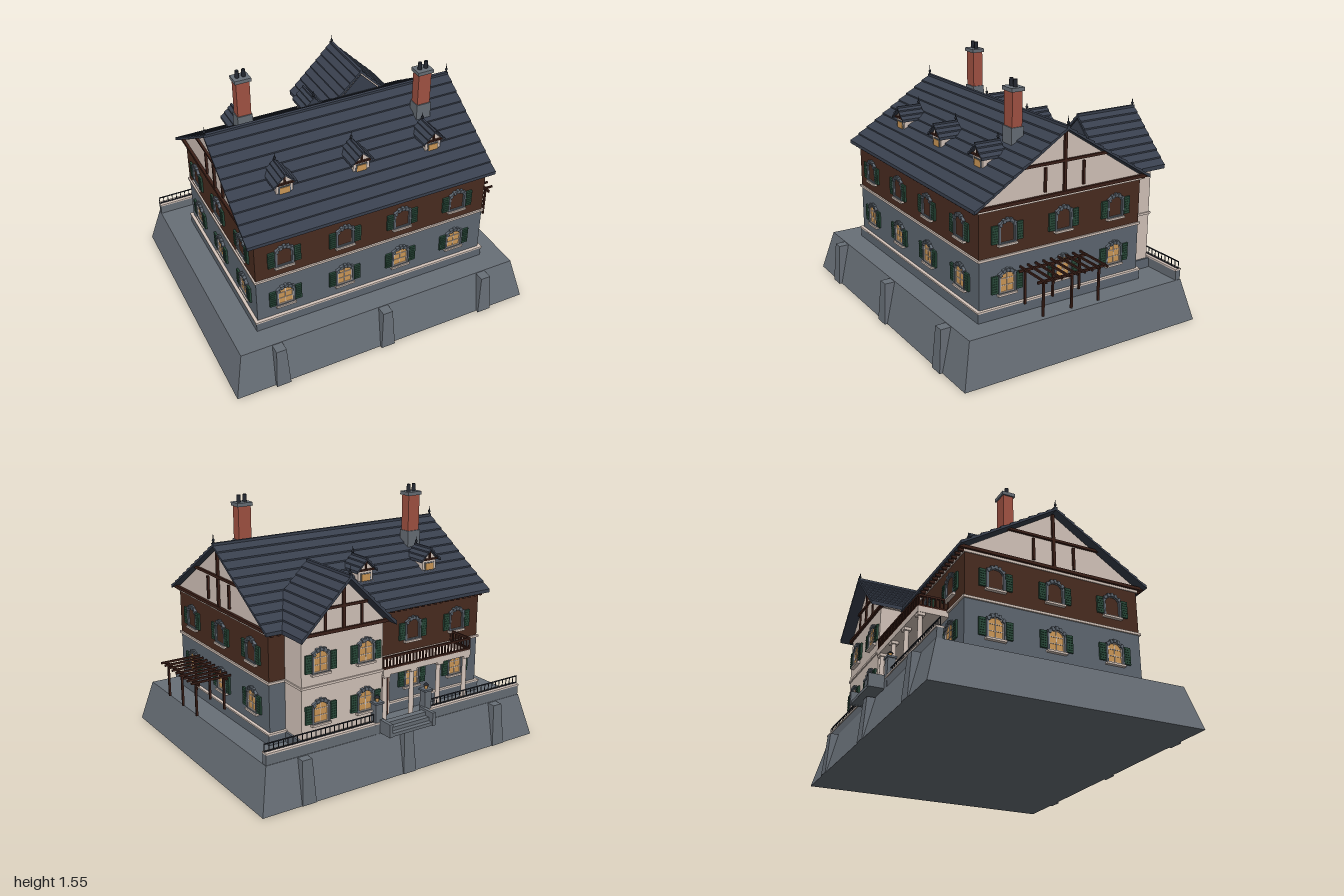
import * as THREE from 'three';

const mat = (name, color, side = THREE.FrontSide) => {
  const m = new THREE.MeshStandardMaterial({ color, side });
  m.name = name;
  return m;
};
const M = {
  stone: mat('stone', 0x686f77), wall: mat('wall stone', 0x5f6872),
  brown: mat('brown cladding', 0x4a2c20), cream: mat('cream plaster', 0xd6c6bc),
  slate: mat('slate', 0x39404e), timber: mat('dark timber', 0x3c2018),
  brick: mat('brick', 0xa35343), green: mat('shutter green', 0x294a3a),
  amber: mat('lit glass', 0xcf9a58), iron: mat('iron', 0x23272f),
};

function add(parent, name, geo, m, x = 0, y = 0, z = 0) {
  const mesh = new THREE.Mesh(geo, m);
  mesh.name = name;
  mesh.position.set(x, y, z);
  parent.add(mesh);
  return mesh;
}
// Box given by its limits on each axis
function box(parent, name, m, x0, x1, y0, y1, z0, z1) {
  return add(parent, name, new THREE.BoxGeometry(x1 - x0, y1 - y0, z1 - z0), m,
    (x0 + x1) / 2, (y0 + y1) / 2, (z0 + z1) / 2);
}
function group(parent, name, x = 0, y = 0, z = 0, ry = 0) {
  const g = new THREE.Group();
  g.name = name;
  g.position.set(x, y, z);
  g.rotation.y = ry;
  parent.add(g);
  return g;
}
// Box on the ground whose top is narrower than its foot
function taper(w, h, d, tw, td) {
  const g = new THREE.BoxGeometry(w, h, d).translate(0, h / 2, 0);
  const p = g.attributes.position;
  for (let i = 0; i < p.count; i++)
    if (p.getY(i) > h / 2) p.setXYZ(i, p.getX(i) * tw / w, h, p.getZ(i) * td / d);
  const flat = g.toNonIndexed();
  flat.computeVertexNormals();
  return flat;
}
function extrude(points, depth) {
  const s = new THREE.Shape(points.map(p => new THREE.Vector2(...p)));
  return new THREE.ExtrudeGeometry(s, { depth, bevelEnabled: false });
}
const triangle = (w, h, depth) => extrude([[-w, 0], [w, 0], [0, h]], depth).translate(0, 0, -depth / 2);
// Pitched roof shell with stepped shingle rows, ridge along z
function roofShell(w, h, rows, depth, t = 0.012) {
  const right = [];
  for (let i = 0; i < rows; i++) {
    const a = i / rows, b = (i + 1) / rows;
    right.push([w * (1 - a), h * a + 0.009], [w * (1 - b), h * b]);
  }
  const left = right.slice(0, -1).reverse().map(([x, y]) => [-x, y]);
  return extrude([[w, -t], ...right, ...left, [-w, -t], [0, h - t]], depth).translate(0, 0, -depth / 2);
}
function finial(parent, x, y, z, h) {
  add(parent, 'finial', new THREE.ConeGeometry(0.007, h, 6), M.iron, x, y + h / 2, z);
  add(parent, 'finialBall', new THREE.SphereGeometry(0.009, 8, 6), M.iron, x, y + h * 0.35, z);
}

// Arched outline with its foot at y
function arch(w, y, spring, top) {
  const s = new THREE.Shape();
  s.moveTo(-w, y);
  s.lineTo(w, y);
  s.lineTo(w, spring);
  s.quadraticCurveTo(w * 0.75, top, 0, top);
  s.quadraticCurveTo(-w * 0.75, top, -w, spring);
  return s;
}
function ring(outer, inner, depth) {
  outer.holes.push(inner);
  return new THREE.ExtrudeGeometry(outer, { depth, bevelEnabled: false, curveSegments: 5 });
}
// Arched window facing +z, standing on its sill
function arched(parent, x, y, z, ry, lit) {
  const g = group(parent, 'window', x, y, z, ry);
  add(g, 'surround', ring(arch(0.058, 0, 0.105, 0.143), arch(0.047, 0.008, 0.1, 0.131), 0.014), M.wall);
  add(g, 'frame', ring(arch(0.047, 0.008, 0.1, 0.131), arch(0.042, 0.013, 0.098, 0.126), 0.009), lit ? M.cream : M.stone);
  add(g, 'pane', new THREE.ExtrudeGeometry(arch(0.044, 0.01, 0.099, 0.128), { depth: 0.004, bevelEnabled: false, curveSegments: 5 }),
    lit ? M.amber : M.brown);
  if (lit) {
    box(g, 'mullion', M.cream, -0.002, 0.002, 0.01, 0.127, 0, 0.007);
    for (const h of [0.05, 0.09]) box(g, 'glazingBar', M.cream, -0.043, 0.043, h - 0.002, h + 0.002, 0, 0.007);
  }
  for (let i = -2; i <= 2; i++) {
    const v = add(g, 'archStone', new THREE.BoxGeometry(0.016, 0.022, 0.018), M.wall, i * 0.023, 0.14 - i * i * 0.006, 0.009);
    v.rotation.z = -i * 0.24;
  }
  box(g, 'sill', M.cream, -0.062, 0.062, -0.008, 0.004, 0, 0.022);
  for (const s of [-1, 1]) {
    add(g, 'shutter', new THREE.BoxGeometry(0.04, 0.104, 0.012), M.green, s * 0.081, 0.064, 0.008);
    for (let i = 0; i < 6; i++)
      add(g, 'slat', new THREE.BoxGeometry(0.03, 0.004, 0.004), M.green, s * 0.081, 0.026 + i * 0.015, 0.015);
  }
}
// Railing along local x
function railing(parent, name, m, x0, x1, y, h, z, step, t) {
  const g = group(parent, name);
  for (const f of [0.15, 1]) box(g, 'rail', m, x0, x1, y + h * f - t, y + h * f, z - t / 2, z + t / 2);
  const n = Math.max(1, Math.round((x1 - x0) / step));
  for (let i = 0; i <= n; i++) {
    const x = x0 + (x1 - x0) * i / n;
    box(g, 'baluster', m, x - t / 3, x + t / 3, y, y + h, z - t / 3, z + t / 3);
  }
  return g;
}
function dormer(parent, x, z, ry) {
  const g = group(parent, 'dormer', x, 0, z, ry);
  box(g, 'dormerWall', M.cream, -0.052, 0.052, 1.0, 1.115, -0.07, 0.06);
  add(g, 'dormerGable', triangle(0.058, 0.058, 0.13), M.cream, 0, 1.113, -0.005);
  add(g, 'dormerRoof', roofShell(0.074, 0.073, 3, 0.165, 0.008), M.slate, 0, 1.112, 0);
  add(g, 'roofEnd', triangle(0.066, 0.066, 0.006), M.slate, 0, 1.112, -0.077);
  box(g, 'ridge', M.slate, -0.006, 0.006, 1.18, 1.192, -0.0825, 0.0825);
  box(g, 'dormerFrame', M.wall, -0.036, 0.036, 1.046, 1.098, 0.055, 0.064);
  box(g, 'dormerPane', M.amber, -0.03, 0.03, 1.051, 1.092, 0.06, 0.067);
  box(g, 'dormerTie', M.timber, -0.056, 0.056, 1.112, 1.122, 0.058, 0.072);
  box(g, 'dormerPost', M.timber, -0.005, 0.005, 1.115, 1.175, 0.058, 0.07);
  box(g, 'dormerSill', M.cream, -0.058, 0.058, 1.04, 1.048, 0.055, 0.07);
  finial(g, 0, 1.185, -0.07, 0.055);
}
function chimney(parent, x, z, top) {
  const g = group(parent, 'chimney', x, 0, z);
  box(g, 'chimneyBase', M.stone, -0.047, 0.047, 1.08, 1.262, -0.04, 0.04);
  box(g, 'chimneyStack', M.brick, -0.042, 0.042, 1.26, top - 0.02, -0.033, 0.033);
  box(g, 'chimneyCap', M.stone, -0.051, 0.051, top - 0.022, top, -0.042, 0.042);
  for (const s of [-1, 1])
    add(g, 'pot', new THREE.CylinderGeometry(0.011, 0.013, 0.045, 10), M.iron, s * 0.02, top + 0.022, 0);
}

export function createModel() {
  const root = new THREE.Group();
  root.name = 'house';

  // Battered terrace and its buttresses
  add(root, 'terrace', taper(1.955, 0.26, 1.61, 1.83, 1.476), M.stone, -0.0225, 0, 0.005);
  for (const x of [-0.715, -0.025, 0.665]) {
    add(root, 'buttress', taper(0.09, 0.257, 0.45, 0.062, 0.41), M.stone, x, 0, 0.602);
    add(root, 'buttress', taper(0.09, 0.257, 0.45, 0.062, 0.41), M.stone, x, 0, -0.58);
  }

  // Main walls
  box(root, 'plinth', M.wall, -0.782, 0.752, 0.25, 0.32, -0.525, 0.606);
  box(root, 'plinthCap', M.cream, -0.786, 0.756, 0.318, 0.328, -0.529, 0.61);
  box(root, 'lowerWall', M.wall, -0.767, 0.737, 0.32, 0.62, -0.51, 0.59);
  box(root, 'floorBand', M.cream, -0.777, 0.747, 0.612, 0.626, -0.52, 0.6);
  box(root, 'upperWall', M.brown, -0.767, 0.737, 0.62, 0.9, -0.51, 0.59);
  box(root, 'eaveBand', M.cream, -0.773, 0.743, 0.89, 0.912, -0.516, 0.596);
  for (let i = 0; i < 34; i++) {
    const x = -0.76 + i * 0.0452;
    box(root, 'rafterTail', M.timber, x - 0.008, x + 0.008, 0.892, 0.908, -0.545, 0.62);
  }

  // Main roof and timbered gables
  add(root, 'mainRoof', roofShell(0.595, 0.375, 10, 1.595), M.slate, -0.0225, 0.917, 0.04).rotation.y = Math.PI / 2;
  add(root, 'mainGable', triangle(0.565, 0.363, 1.51), M.cream, -0.015, 0.911, 0.04).rotation.y = Math.PI / 2;
  box(root, 'ridge', M.slate, -0.82, 0.775, 1.285, 1.302, 0.03, 0.05);
  for (const x of [-0.775, 0.745]) {
    const g = group(root, 'gableTimbers', x, 0, 0.04);
    box(g, 'tieBeam', M.timber, -0.012, 0.012, 0.905, 0.924, -0.59, 0.59);
    box(g, 'kingPost', M.timber, -0.009, 0.009, 0.92, 1.27, -0.009, 0.009);
    box(g, 'collarBeam', M.timber, -0.009, 0.009, 1.093, 1.108, -0.296, 0.296);
    for (const z of [-0.13, 0.13]) box(g, 'stud', M.timber, -0.008, 0.008, 0.94, 1.08, z - 0.007, z + 0.007);
  }
  finial(root, -0.812, 1.295, 0.04, 0.068);
  finial(root, 0.767, 1.295, 0.04, 0.068);

  // Rear wing
  const wing = group(root, 'wing', 0.365);
  box(wing, 'wingPlinth', M.wall, -0.282, 0.282, 0.25, 0.32, -0.692, -0.5);
  box(wing, 'wingWall', M.cream, -0.27, 0.27, 0.32, 0.915, -0.68, -0.45);
  box(wing, 'wingBand', M.cream, -0.278, 0.278, 0.612, 0.626, -0.688, -0.5);
  add(wing, 'wingGable', triangle(0.285, 0.282, 0.35), M.cream, 0, 0.912, -0.507);
  add(wing, 'wingRoof', roofShell(0.31, 0.305, 8, 0.434, 0.016), M.slate, 0, 0.917, -0.537);
  add(wing, 'roofEnd', triangle(0.285, 0.282, 0.006), M.slate, 0, 0.914, -0.324);
  box(wing, 'ridge', M.slate, -0.009, 0.009, 1.214, 1.23, -0.754, -0.32);
  box(wing, 'tieBeam', M.timber, -0.3, 0.3, 0.905, 0.924, -0.695, -0.675);
  box(wing, 'kingPost', M.timber, -0.009, 0.009, 0.92, 1.19, -0.692, -0.675);
  box(wing, 'collarBeam', M.timber, -0.155, 0.155, 1.04, 1.055, -0.692, -0.675);
  for (const x of [-0.12, 0.12]) box(wing, 'stud', M.timber, x - 0.007, x + 0.007, 0.92, 1.045, -0.69, -0.675);
  finial(wing, 0, 1.22, -0.742, 0.062);

  // Windows on every side
  const storeys = [[0.397, true], [0.69, false]];
  for (const [y, lit] of storeys) {
    for (const x of [-0.59, -0.21, 0.165, 0.542]) arched(root, x, y, 0.59, 0, lit);
    for (const z of [0.414, 0.04, -0.328]) {
      arched(root, 0.737, y, z, Math.PI / 2, lit);
      arched(root, -0.767, y, z, -Math.PI / 2, lit);
    }
    for (const x of [-0.59, -0.25]) arched(root, x, y, -0.51, Math.PI, lit);
    for (const x of [0.215, 0.515]) arched(root, x, y, -0.68, Math.PI, true);
  }
  box(root, 'doorFrame', M.cream, -0.075, 0.035, 0.26, 0.52, -0.53, -0.5);
  box(root, 'door', M.timber, -0.062, 0.022, 0.26, 0.505, -0.536, -0.5);

  // Dormers and chimneys
  for (const x of [-0.5, -0.02, 0.455]) dormer(root, x, 0.362, 0);
  for (const x of [-0.5, -0.02]) dormer(root, x, -0.288, Math.PI);
  chimney(root, -0.515, -0.135, 1.505);
  chimney(root, 0.485, 0.212, 1.485);

  // Porch with balcony
  box(root, 'balconyFloor', M.cream, -0.56, 0.095, 0.585, 0.62, -0.69, -0.51);
  for (const x of [-0.535, -0.33, -0.13, 0.065]) {
    add(root, 'column', new THREE.CylinderGeometry(0.013, 0.016, 0.33, 12), M.cream, x, 0.425, -0.665);
    for (const [y0, y1] of [[0.26, 0.29], [0.568, 0.586]])
      box(root, 'columnBlock', M.cream, x - 0.022, x + 0.022, y0, y1, -0.687, -0.643);
  }
  railing(root, 'balconyRail', M.timber, -0.555, 0.09, 0.62, 0.075, -0.683, 0.024, 0.012);
  railing(root, 'balconySideRail', M.timber, 0.51, 0.683, 0.62, 0.075, -0.553, 0.024, 0.012).rotation.y = Math.PI / 2;

  // Rear parapet, iron railing, gate posts and steps
  for (const [x0, x1] of [[-0.935, -0.2], [0.145, 0.89]]) {
    box(root, 'parapet', M.stone, x0, x1, 0.255, 0.32, -0.73, -0.695);
    box(root, 'parapetCap', M.cream, x0, x1, 0.32, 0.33, -0.735, -0.69);
    railing(root, 'ironRailing', M.iron, x0, x1, 0.33, 0.05, -0.712, 0.03, 0.006);
  }
  for (const x of [-0.205, 0.15]) {
    box(root, 'gatePost', M.stone, x - 0.024, x + 0.024, 0.255, 0.44, -0.732, -0.685);
    box(root, 'gatePostCap', M.wall, x - 0.03, x + 0.03, 0.44, 0.452, -0.738, -0.679);
    add(root, 'lantern', new THREE.CylinderGeometry(0.011, 0.009, 0.024, 8), M.amber, x, 0.464, -0.71);
    add(root, 'lanternCap', new THREE.ConeGeometry(0.018, 0.018, 8), M.iron, x, 0.484, -0.71);
  }
  for (const x of [-0.177, 0.132]) box(root, 'stairCheek', M.stone, x - 0.011, x + 0.011, 0.265, 0.345, -0.825, -0.7);
  for (let i = 0; i < 3; i++)
    box(root, 'step', M.stone, -0.17, 0.125, 0.266, 0.33 - i * 0.022, -0.76 - i * 0.03, -0.72 - i * 0.03);

  // Side pergola
  const pergola = group(root, 'pergola');
  for (const x of [0.78, 0.958]) {
    box(pergola, 'beam', M.timber, x - 0.006, x + 0.006, 0.518, 0.532, -0.1, 0.36);
    for (const z of [0.32, 0.132, -0.052]) box(pergola, 'post', M.timber, x - 0.006, x + 0.006, 0.32, 0.525, z - 0.006, z + 0.006);
  }
  for (let i = 0; i < 9; i++) {
    const z = -0.08 + i * 0.0513;
    box(pergola, 'rafter', M.timber, 0.745, 1.0, 0.53, 0.542, z - 0.005, z + 0.005);
  }
  return root;
}
